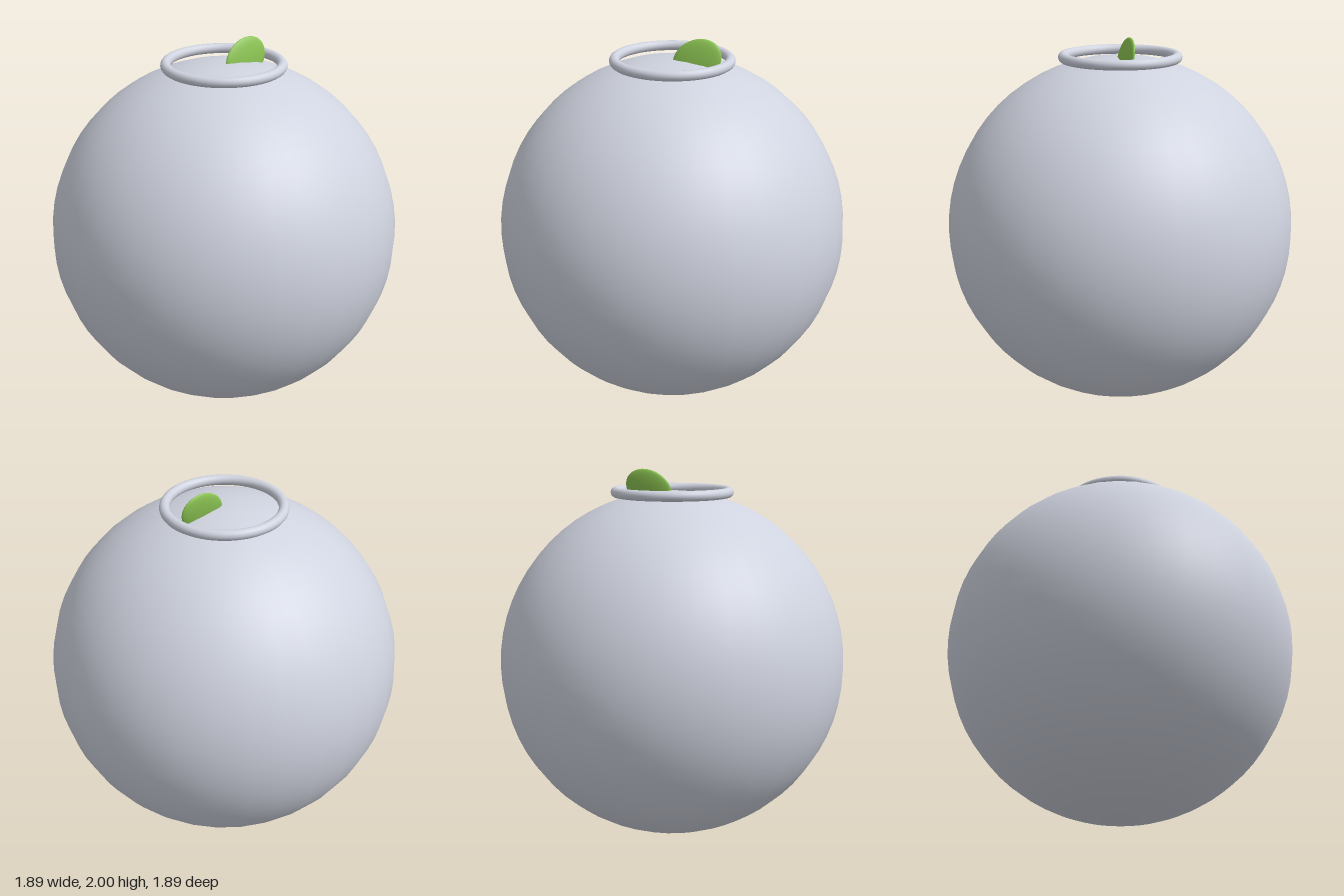
import * as THREE from 'three';

export function createModel() {
  const model = new THREE.Group();
  const glass = new THREE.MeshStandardMaterial({ color: 0xcfd3df });
  glass.name = 'paleGlass';
  const green = new THREE.MeshStandardMaterial({ color: 0x8bc352 });
  green.name = 'leafGreen';

  const add = (name, geometry, material, x, y, z) => {
    const mesh = new THREE.Mesh(geometry, material);
    mesh.name = name;
    mesh.position.set(x, y, z);
    model.add(mesh);
    return mesh;
  };

  // Round bowl standing on the ground
  const R = 0.943;
  add('bowl', new THREE.SphereGeometry(R, 32, 32), glass, 0, R, 0);

  // Ring around the mouth
  const rim = add('rim', new THREE.TorusGeometry(0.303, 0.027, 16, 64), glass, 0, 1.88, 0);
  rim.rotation.x = Math.PI / 2;

  // Thin leaf poking out of the mouth, turned and leaning slightly back
  const leaf = add('leaf', new THREE.SphereGeometry(1, 32, 20), green, 0.135, 1.89, -0.012);
  leaf.scale.set(0.135, 0.105, 0.021);
  leaf.rotation.set(-0.17, 0.16, 0.45, 'YXZ');

  return model;
}
